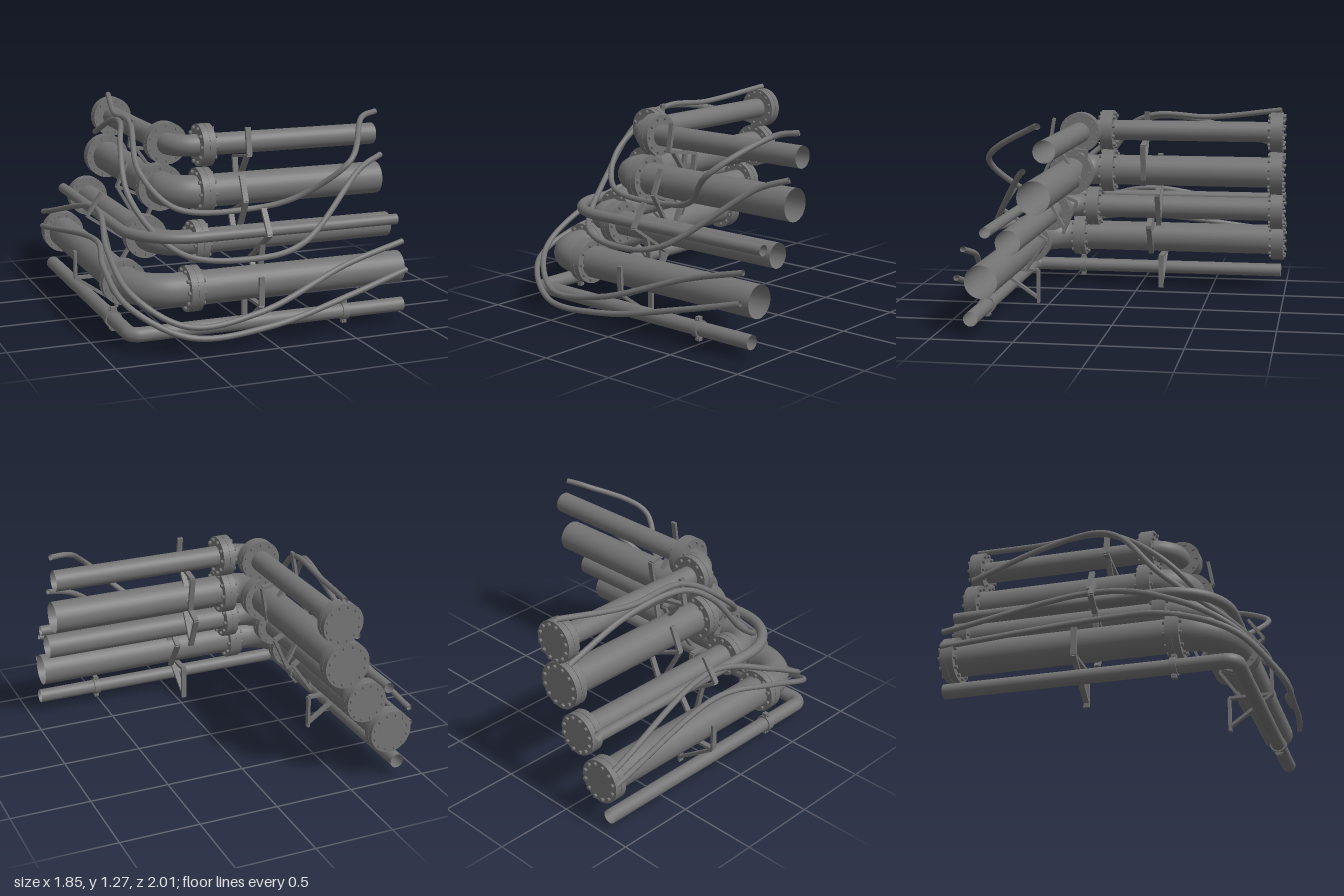
import * as THREE from 'three';

const mat = new THREE.MeshStandardMaterial({ color: 0x747474, side: THREE.DoubleSide });
const V = (x, y, z) => new THREE.Vector3(x, y, z);
const UP = V(0, 1, 0);

function add(parent, geometry, name) {
  const m = new THREE.Mesh(geometry, mat);
  m.name = name;
  parent.add(m);
  return m;
}

// Open pipe following a curve
function tube(parent, curve, r, name, segments = 1, sides = 28) {
  add(parent, new THREE.TubeGeometry(curve, segments, r, sides), name);
}

// Loose cable through a few [x, y, z] points
function cable(parent, ...points) {
  tube(parent, new THREE.CatmullRomCurve3(points.map((q) => V(...q))), 0.018, 'cable', 90, 10);
}

// Flat bar between two points, its wide side along the given axis
function bar(parent, a, b, axis, name) {
  const dir = b.clone().sub(a);
  const m = add(parent, new THREE.BoxGeometry(0.034, dir.length(), 0.018), name);
  const y = dir.normalize();
  m.quaternion.setFromRotationMatrix(new THREE.Matrix4().makeBasis(axis, y, axis.clone().cross(y)));
  m.position.copy(a).add(b).multiplyScalar(0.5);
}

// Bolted pair of flange discs, with its axis along dir
function flange(parent, pos, dir, R, name, bolts = 10) {
  const g = new THREE.Group();
  g.name = name;
  for (const s of [-1, 1]) {
    add(g, new THREE.CylinderGeometry(R, R, 0.038, 32), 'flangeDisc').position.y = s * 0.021;
  }
  add(g, new THREE.CylinderGeometry(R * 0.98, R * 0.98, 0.01, 32), 'gasket');
  for (let i = 0; i < bolts; i++) {
    const a = ((i + 0.5) / bolts) * Math.PI * 2;
    add(g, new THREE.CylinderGeometry(0.012, 0.012, 0.112, 6), 'bolt')
      .position.set(Math.cos(a) * R * 0.83, 0, Math.sin(a) * R * 0.83);
  }
  g.quaternion.setFromUnitVectors(UP, dir);
  g.position.copy(pos);
  parent.add(g);
}

// L-shaped pipe: one run along +x, one along -z, joined by an elbow of bend radius R
function cornerPipe(parent, { y, r, x, z, R }, name) {
  const g = new THREE.Group();
  g.name = name;
  const a = V(x + R, y, z), b = V(x, y, z - R), k = R * 0.448;
  tube(g, new THREE.LineCurve3(V(0.918, y, z), a), r, 'sideRun');
  tube(g, new THREE.CubicBezierCurve3(a, V(x + k, y, z), V(x, y, z - k), b), r, 'elbow', 16);
  tube(g, new THREE.LineCurve3(b, V(x, y, -0.965)), r, 'backRun');
  parent.add(g);
  return g;
}

// Bracket in the plane across a run; out is the outward direction, axis the run direction
function bracket(parent, center, out, axis, { r, tilt, leg, reach, top }, name) {
  const g = new THREE.Group();
  g.name = name;
  const c = Math.cos(tilt), s = Math.sin(tilt);
  const at = (u, v) => center.clone().addScaledVector(out, u * c - v * s).addScaledVector(UP, u * s + v * c);
  const inner = -r - 0.034, low = -r - 0.015;
  bar(g, at(inner, low), at(reach, low), axis, 'shelf');
  bar(g, at(reach, low), at(reach, top), axis, 'outerUpright');
  bar(g, at(inner, low), at(inner, low - leg), axis, 'leg');
  bar(g, at(-inner, low), at(inner, low - leg + 0.03), axis, 'brace');
  parent.add(g);
}

// Ring with two bolted lugs around the ground pipe
function clamp(parent, pos, dir, side) {
  const g = new THREE.Group();
  g.name = 'clamp';
  add(g, new THREE.CylinderGeometry(0.053, 0.053, 0.04, 24), 'clampRing')
    .quaternion.setFromUnitVectors(UP, dir);
  for (const s of [-1, 1]) {
    add(g, new THREE.BoxGeometry(0.03, 0.03, 0.03), 'clampLug').position.set(0, s * 0.058, 0);
    const bolt = add(g, new THREE.CylinderGeometry(0.008, 0.008, 0.05, 6), 'clampBolt');
    bolt.position.set(0, s * 0.058, 0);
    bolt.quaternion.setFromUnitVectors(UP, side);
  }
  g.position.copy(pos);
  parent.add(g);
}

// Main pipes from top to bottom: radius, corner and bend; flange radius F and positions
// (fx, fz); bracket positions (bx, bz), tilt, leg length, shelf reach and upright top
const PIPES = [
  { y: 1.105, r: 0.067, x: -0.41, z: 0.325, R: 0.14, F: 0.13, fx: -0.222, fz: 0.17,
    bx: 0.02, bz: -0.07, tilt: 0.17, leg: 0.23, reach: 0.14, top: 0.09 },
  { y: 0.835, r: 0.1, x: -0.45, z: 0.39, R: 0.15, F: 0.145, fx: -0.255, fz: 0.17,
    bx: -0.035, bz: -0.16, tilt: 0.42, leg: 0.23, reach: 0.132, top: 0.05 },
  { y: 0.567, r: 0.076, x: -0.59, z: 0.545, R: 0.18, F: 0.13, fx: -0.345, fz: 0.298,
    bx: 0.02, bz: -0.08, tilt: 0.6, leg: 0.24, reach: 0.24, top: 0.08 },
  { y: 0.332, r: 0.1, x: -0.77, z: 0.71, R: 0.24, F: 0.137, fx: -0.445, fz: 0.42,
    bx: -0.05, bz: -0.155, tilt: 0, leg: 0.217, reach: 0.132, top: 0.06 },
];

export function createModel() {
  const model = new THREE.Group();
  model.name = 'pipeCorner';
  const X = V(1, 0, 0), Z = V(0, 0, 1), L = V(-1, 0, 0);

  for (const p of PIPES) {
    const g = cornerPipe(model, p, 'mainPipe');
    flange(g, V(p.fx, p.y, p.z), X, p.F, 'sideFlange');
    flange(g, V(p.x, p.y, p.fz), Z, p.F, 'backFlange');
    flange(g, V(p.x, p.y, -0.942), Z, p.F, 'endFlange', 12);
    bracket(g, V(p.bx, p.y, p.z), Z, X, p, 'sideBracket');
    bracket(g, V(p.x, p.y, p.bz), L, Z, p, 'backBracket');
  }

  // Two thin pipes: one beside the third main pipe, one near the ground
  cornerPipe(model, { y: 0.625, r: 0.033, x: -0.75, z: 0.68, R: 0.36 }, 'thinPipe');
  const ground = cornerPipe(model, { y: 0.107, r: 0.044, x: -0.835, z: 0.775, R: 0.06 }, 'groundPipe');
  clamp(ground, V(0.52, 0.107, 0.775), X, Z);
  clamp(ground, V(-0.835, 0.107, 0.42), Z, X);

  // Upper cables, from the side end round the corner to the back end
  cable(model, [0.92, 1.25, 0.36], [0.8, 1.23, 0.42], [0.56, 1.02, 0.74], [0.3, 0.8, 0.59], [0.05, 0.73, 0.51],
    [-0.45, 0.76, 0.48], [-0.61, 0.95, 0.28], [-0.55, 1.19, -0.08], [-0.52, 1.19, -0.5], [-0.42, 1.25, -0.97]);
  cable(model, [0.92, 0.99, 0.45], [0.75, 0.93, 0.52], [0.25, 0.56, 0.78], [-0.05, 0.5, 0.81], [-0.48, 0.53, 0.68],
    [-0.68, 0.8, 0.3], [-0.66, 1.08, 0.06], [-0.6, 1.18, -0.12], [-0.54, 1.15, -0.5], [-0.52, 1, -0.96]);

  // Lower cables, sagging round the outside of the corner
  cable(model, [0.89, 0.52, 0.82], [0.5, 0.42, 0.85], [-0.1, 0.22, 0.96], [-0.55, 0.175, 0.94],
    [-0.82, 0.34, 0.74], [-0.86, 0.52, 0.42], [-0.78, 0.67, -0.05], [-0.89, 0.47, -0.98]);
  cable(model, [0.9, 0.35, 0.86], [0.5, 0.25, 0.92], [-0.05, 0.13, 0.975], [-0.55, 0.12, 0.97],
    [-0.85, 0.28, 0.77], [-0.88, 0.42, 0.4], [-0.8, 0.48, 0], [-0.9, 0.37, -0.98]);
  return model;
}
